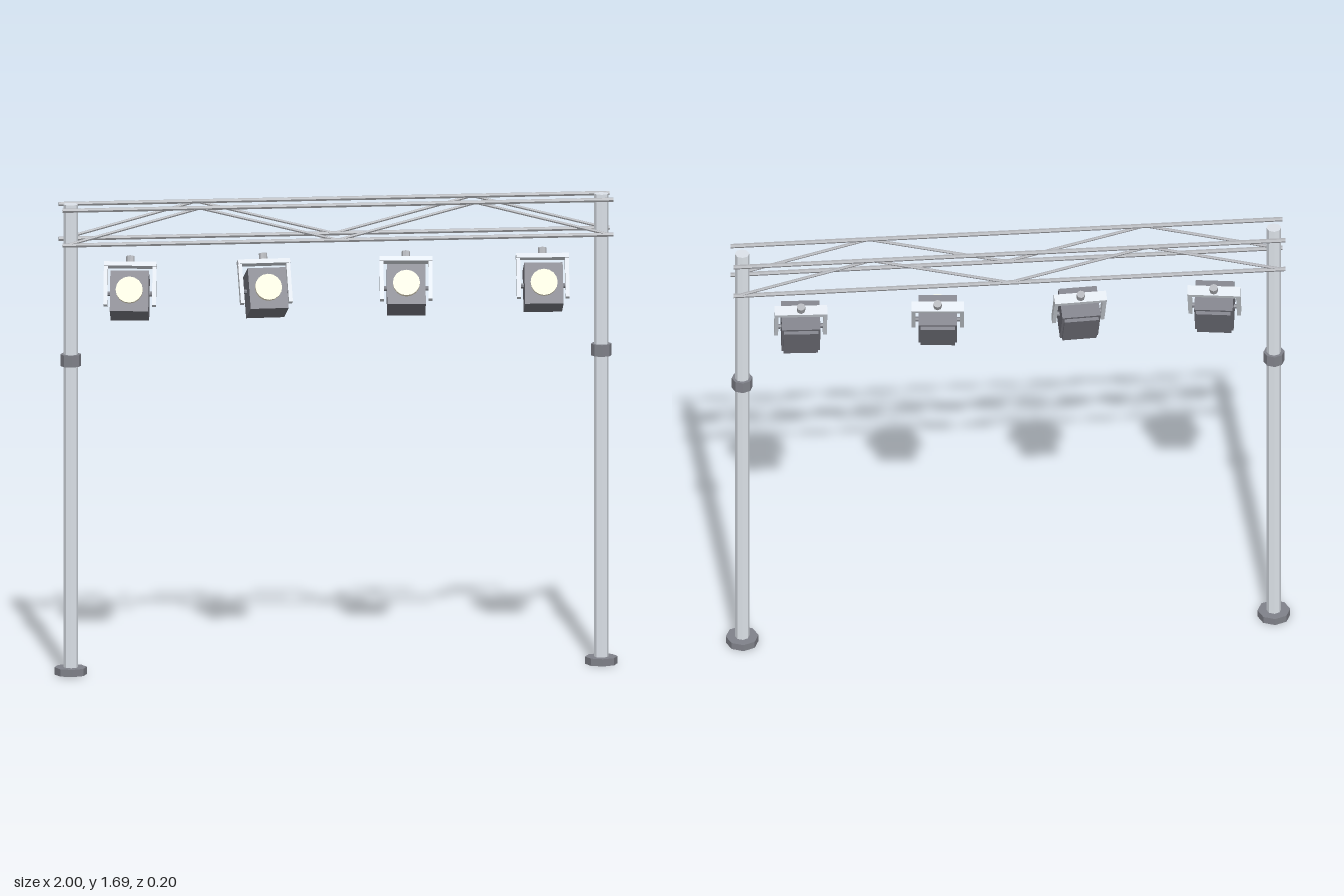
import * as THREE from 'three';

const mat = (color) => new THREE.MeshStandardMaterial({ color, flatShading: true });

export function createModel() {
  const root = new THREE.Group();
  root.name = 'lightingRig';
  const steel = mat(0xdde3ea), bar = mat(0xb0b2b7), dark = mat(0x80828a);
  const housing = mat(0x7a7b84), cream = mat(0xfff6da);

  const add = (parent, name, geo, material, x = 0, y = 0, z = 0) => {
    const m = new THREE.Mesh(geo, material);
    m.name = name;
    m.position.set(x, y, z);
    parent.add(m);
    return m;
  };

  // Round bar between two points
  const rod = (parent, name, a, b, r) => {
    const dir = b.clone().sub(a);
    const m = add(parent, name, new THREE.CylinderGeometry(r, r, dir.length(), 6), bar);
    m.position.copy(a).add(b).multiplyScalar(0.5);
    m.quaternion.setFromUnitVectors(new THREE.Vector3(0, 1, 0), dir.normalize());
  };

  // Upright poles with foot and locking collar
  for (const s of [-1, 1]) {
    const pole = new THREE.Group();
    pole.name = s > 0 ? 'leftPole' : 'rightPole';
    pole.position.x = s * 0.942;
    add(pole, 'tube', new THREE.CylinderGeometry(0.026, 0.026, 1.692, 8), steel, 0, 0.846);
    add(pole, 'foot', new THREE.CylinderGeometry(0.058, 0.058, 0.026, 8), dark, 0, 0.015);
    add(pole, 'collar', new THREE.CylinderGeometry(0.037, 0.037, 0.042, 8), dark, 0, 1.132);
    root.add(pole);
  }

  // Two flat trusses, in front of and behind the poles
  const top = 1.681, low = 1.556;
  for (const z of [-0.064, 0.064]) {
    const truss = new THREE.Group();
    truss.name = z > 0 ? 'frontTruss' : 'backTruss';
    for (const y of [low, top]) {
      rod(truss, 'chord', new THREE.Vector3(-0.978, y, z), new THREE.Vector3(0.978, y, z), 0.008);
    }
    const zigzag = [-0.965, -0.49, 0, 0.49, 0.965]
      .map((x, i) => new THREE.Vector3(x, i % 2 ? top : low, z));
    for (let i = 0; i < 4; i++) rod(truss, 'brace', zigzag[i], zigzag[i + 1], 0.0055);
    root.add(truss);
  }

  // Floodlights: x, upward tilt, turn
  const lamps = [[-0.732, 0.47, -0.14], [-0.25, 0.47, 0.05], [0.249, 0.54, -0.09], [0.735, 0.44, -0.05]];
  for (const [x, tilt, turn] of lamps) {
    const lamp = new THREE.Group();
    lamp.name = 'floodlight';
    lamp.position.set(x, 1.365, 0);
    lamp.rotation.set(-tilt, turn, 0, 'YXZ');
    add(lamp, 'housing', new THREE.BoxGeometry(0.136, 0.15, 0.118), housing, 0, -0.007, 0.005);
    add(lamp, 'backPanel', new THREE.BoxGeometry(0.122, 0.136, 0.014), housing, 0, -0.009, -0.06);
    const lens = add(lamp, 'lens', new THREE.CylinderGeometry(0.048, 0.048, 0.016, 16), cream, 0, -0.006, 0.069);
    lens.rotation.x = Math.PI / 2;
    // Yoke over the housing
    add(lamp, 'yokeBar', new THREE.BoxGeometry(0.186, 0.016, 0.038), steel, 0, 0.106, 0);
    for (const s of [-1, 1]) {
      add(lamp, 'yokeArm', new THREE.BoxGeometry(0.014, 0.148, 0.026), steel, s * 0.086, 0.03, 0);
      const pin = add(lamp, 'pivotPin', new THREE.CylinderGeometry(0.009, 0.009, 0.016, 8), dark, s * 0.073, 0, 0);
      pin.rotation.z = Math.PI / 2;
    }
    add(lamp, 'mountingStud', new THREE.CylinderGeometry(0.015, 0.015, 0.026, 8), bar, 0, 0.125, 0);
    root.add(lamp);
  }
  return root;
}
